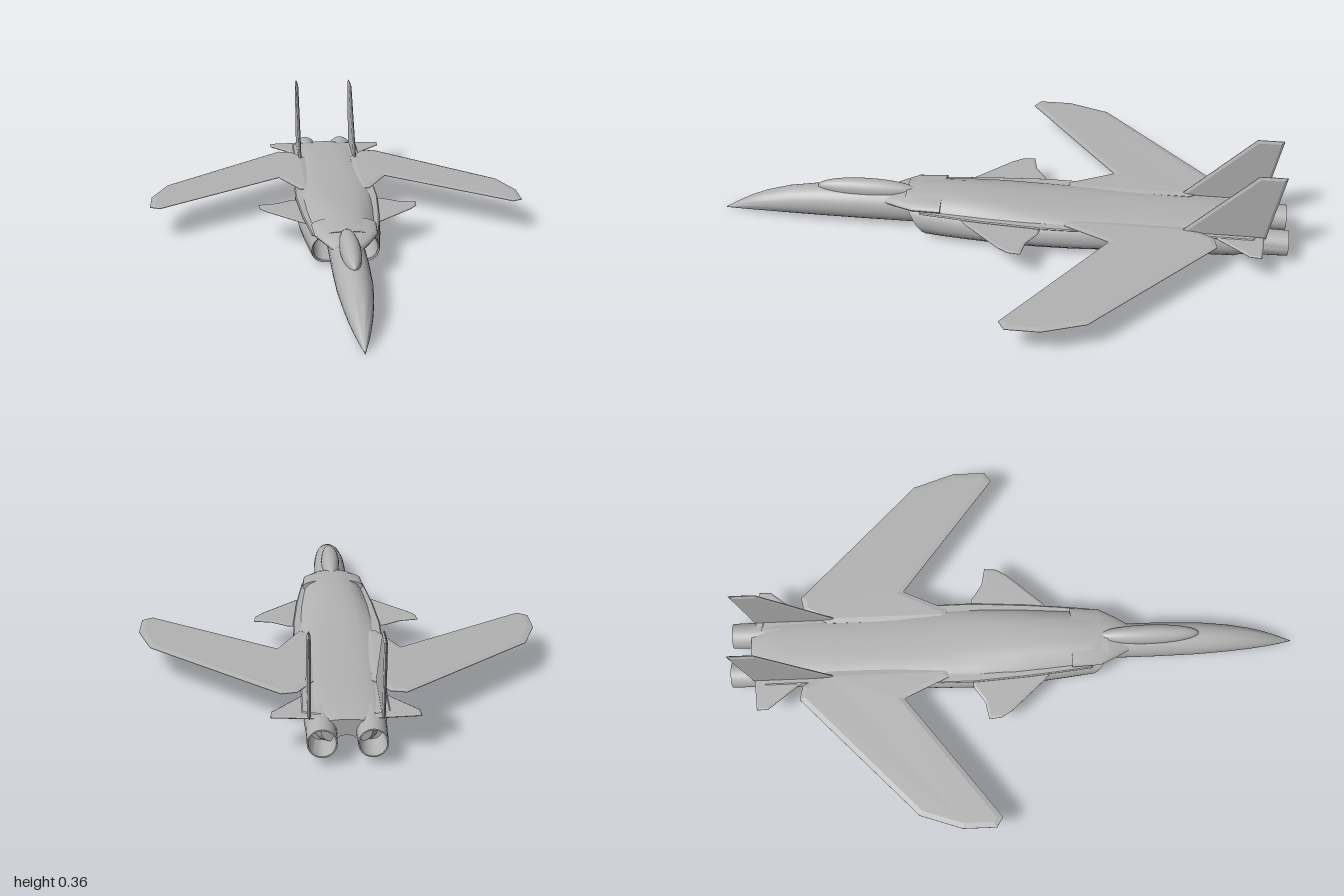
import * as THREE from 'three';
import { toCreasedNormals } from 'three/addons/utils/BufferGeometryUtils.js';

const grey = new THREE.MeshStandardMaterial({ color: 0xb2b2b2 });
grey.name = 'airframe grey';

function addMesh(group, name, geometry) {
  const mesh = new THREE.Mesh(geometry, grey);
  mesh.name = name;
  group.add(mesh);
  return mesh;
}

// Skin rings of [x, y, z] points (counter-clockwise seen from the front) and cap both ends
function loft(rings, crease = 0.6) {
  const n = rings[0].length, pos = [], idx = [];
  rings.forEach(r => r.forEach(p => pos.push(...p)));
  for (let i = 0; i < rings.length - 1; i++) for (let j = 0; j < n; j++) {
    const k = (j + 1) % n, a = i * n + j, b = i * n + k, c = a + n, d = b + n;
    idx.push(a, c, b, b, c, d);
  }
  [0, rings.length - 1].forEach((r, end) => {
    const mid = pos.length / 3;
    pos.push(...[0, 1, 2].map(k => rings[r].reduce((s, p) => s + p[k], 0) / n));
    for (let j = 0; j < n; j++) {
      const a = r * n + j, b = r * n + (j + 1) % n;
      if (end) idx.push(mid, b, a); else idx.push(mid, a, b);
    }
  });
  const g = new THREE.BufferGeometry();
  g.setAttribute('position', new THREE.Float32BufferAttribute(pos, 3));
  g.setIndex(idx);
  return toCreasedNormals(g, crease);
}

function ellipseRing(z, w, bottom, top, cx = 0, n = 28) {
  return Array.from({ length: n }, (_, i) => {
    const a = i / n * Math.PI * 2;
    return [cx + w * Math.cos(a), (top + bottom) / 2 + (top - bottom) / 2 * Math.sin(a), z];
  });
}

// Hull section: rounded nacelle sides, a sloped upper deck and a tunnel under the centre
function hullRing(z, w, b, t, tunnel = 0, rake = 0) {
  const side = Math.min(0.113, t - 0.008), h = side - b;
  const half = [
    [0, b + tunnel], [0.25, b + tunnel * 0.8], [0.5, b + tunnel * 0.1], [0.68, b],
    [0.83, b + h * 0.08], [0.95, b + h * 0.25], [1, b + h * 0.48], [0.98, b + h * 0.7],
    [0.92, b + h * 0.88], [0.84, side], [0.7, side + (t - side) * 0.5],
    [0.45, t - (t - side) * 0.12], [0.2, t - (t - side) * 0.03], [0, t]
  ].map(([f, y]) => [f * w, y, z + rake * (y - 0.06)]);
  const left = half.slice(1, -1).reverse().map(([x, y, zz]) => [-x, y, zz]);
  return [...half, ...left];
}

// Thin panel with chamfered edges; its outline is kept exactly
function panel(points, thickness, bevel) {
  const shape = new THREE.Shape(points.map(p => new THREE.Vector2(...p)));
  const g = new THREE.ExtrudeGeometry(shape, {
    depth: thickness * 0.2, bevelEnabled: true, bevelThickness: thickness * 0.4,
    bevelSize: bevel, bevelOffset: -bevel, bevelSegments: 1
  });
  return g.translate(0, 0, -thickness * 0.1);
}

// Horizontal panel from [x, z] points for one side
const flatPanel = (points, side, thickness, bevel) =>
  panel(points.map(([x, z]) => [x * side, -z]), thickness, bevel).rotateX(-Math.PI / 2);

export function createModel() {
  const group = new THREE.Group();
  group.name = 'jet aircraft';

  // Drooped nose and forward fuselage, running back between the intakes
  addMesh(group, 'noseFuselage', loft([
    [1, 0.001, 0.002, 0.005], [0.95, 0.015, 0.004, 0.034], [0.9, 0.027, 0.006, 0.062],
    [0.84, 0.038, 0.008, 0.087], [0.76, 0.048, 0.009, 0.11], [0.65, 0.057, 0.01, 0.128],
    [0.5, 0.06, 0.01, 0.135], [0.3, 0.06, 0.01, 0.14], [0, 0.06, 0.015, 0.13]
  ].map(s => ellipseRing(...s))));

  // Bubble canopy
  const canopy = addMesh(group, 'canopy', new THREE.SphereGeometry(1, 28, 18));
  canopy.geometry.rotateX(Math.PI / 2);
  canopy.scale.set(0.034, 0.038, 0.182);
  canopy.position.set(0, 0.129, 0.47);

  // Main hull, starting deep inside the raked intakes and folding over their lips
  addMesh(group, 'hullAndIntakes', loft([
    hullRing(0.05, 0.1, 0.022, 0.125, 0, 0.3),
    hullRing(0.275, 0.108, 0.018, 0.138, 0, 0.6),
    hullRing(0.28, 0.114, 0.011, 0.145, 0, 0.6),
    hullRing(0.2, 0.123, 0.01, 0.154, 0, 0.2),
    hullRing(0.1, 0.134, 0.01, 0.154),
    hullRing(0, 0.143, 0.01, 0.15),
    hullRing(-0.14, 0.149, 0.01, 0.139, 0.003),
    hullRing(-0.26, 0.147, 0.01, 0.132, 0.008),
    hullRing(-0.42, 0.135, 0.01, 0.127, 0.015),
    hullRing(-0.65, 0.126, 0.011, 0.125, 0.025),
    hullRing(-0.82, 0.122, 0.014, 0.124, 0.032),
    hullRing(-0.88, 0.105, 0.028, 0.12, 0.03),
    hullRing(-0.93, 0.075, 0.045, 0.113, 0.02)
  ]));

  // Fairing that joins the cockpit to the upper deck
  addMesh(group, 'deckFairing', loft([
    [0.41, 0.045, 0.09, 0.125], [0.36, 0.075, 0.095, 0.135],
    [0.3, 0.105, 0.1, 0.147], [0.2, 0.11, 0.1, 0.152]
  ].map(s => ellipseRing(...s))));

  // Hollow engine nozzles
  for (const side of [1, -1]) {
    const cx = side * 0.073, cy = 0.07;
    const ring = (z, r) => ellipseRing(z, r, cy - r, cy + r, cx);
    addMesh(group, side > 0 ? 'leftEngine' : 'rightEngine', loft([
      ring(-0.6, 0.045), ring(-0.84, 0.05), ring(-0.9, 0.046), ring(-1, 0.044),
      ring(-1, 0.04), ring(-0.9, 0.034)
    ]));
  }

  for (const side of [1, -1]) {
    const label = side > 0 ? 'left' : 'right';

    // Forward-swept wing, sagging slightly toward the tip
    const wing = flatPanel([
      [0.09, -0.24], [0.127, -0.235], [0.2, -0.39], [0.63, -0.063], [0.665, -0.085],
      [0.665, -0.2], [0.615, -0.345], [0.19, -0.755], [0.14, -0.745], [0.09, -0.66]
    ], side, 0.009, 0.018);
    const p = wing.attributes.position;
    for (let i = 0; i < p.count; i++)
      p.setY(i, p.getY(i) + 0.119 - 0.02 * Math.max(0, Math.abs(p.getX(i)) - 0.2));
    wing.computeVertexNormals();
    addMesh(group, label + 'Wing', wing);

    // Narrow ledge along the hull side
    addMesh(group, label + 'Strake', flatPanel([
      [0.07, 0.28], [0.112, 0.27], [0.125, 0.15], [0.135, 0.05], [0.148, -0.15],
      [0.147, -0.26], [0.13, -0.4], [0.13, -0.88], [0.07, -0.9]
    ], side, 0.007, 0.004)).position.y = 0.113;

    // Foreplane ahead of the wing
    addMesh(group, label + 'Canard', flatPanel([
      [0.1, 0.14], [0.143, 0.105], [0.255, -0.018], [0.278, -0.055], [0.282, -0.098],
      [0.22, -0.11], [0.165, -0.148], [0.1, -0.155]
    ], side, 0.007, 0.008)).position.y = 0.105;

    // Small tailplane beside the nozzle
    addMesh(group, label + 'Tailplane', flatPanel([
      [0.08, -0.7], [0.12, -0.74], [0.15, -0.78], [0.218, -0.865], [0.22, -0.905], [0.08, -0.917]
    ], side, 0.008, 0.006)).position.y = 0.11;

    // Upright tail fin
    const fin = panel([
      [0.63, 0.112], [0.64, 0.125], [0.875, 0.364], [0.967, 0.364], [0.92, 0.108]
    ], 0.011, 0.01).rotateY(Math.PI / 2);
    addMesh(group, label + 'Fin', fin).position.x = side * 0.108;
  }
  return group;
}
